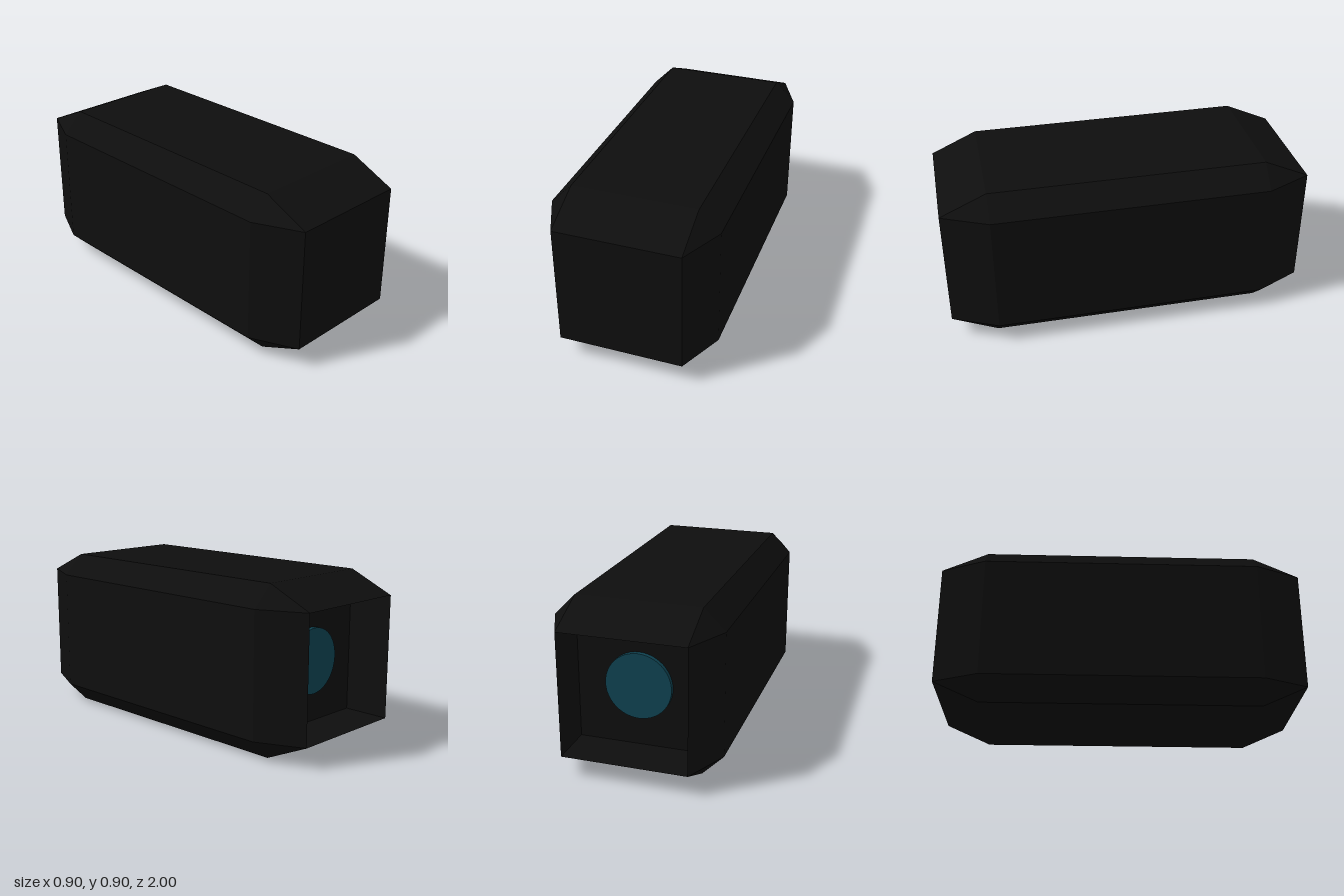
import * as THREE from 'three';

const OUTER = [0.45, 0.45, 1];      // half extents of the block
const INNER = [0.336, 0.336, 0.75]; // half extents of its flat faces
const FLOOR_Z = -0.745;             // bottom of the recess in the back end
const SIGNS = [-1, 1];

// Bevelled-box vertex: pushed to the outer extent along one axis only
function corner(axis, s) {
  return new THREE.Vector3(...[0, 1, 2].map(i => s[i] * (i === axis ? OUTER[i] : INNER[i])));
}

// Flat-shaded geometry from convex polygons, each turned to face its given direction
function polygons(list) {
  const pos = [];
  for (const { pts, dir } of list) {
    const n = new THREE.Vector3().crossVectors(
      pts[1].clone().sub(pts[0]), pts[2].clone().sub(pts[0]));
    const p = n.dot(dir) < 0 ? pts.slice().reverse() : pts;
    for (let i = 1; i < p.length - 1; i++) {
      for (const v of [p[0], p[i], p[i + 1]]) pos.push(v.x, v.y, v.z);
    }
  }
  const g = new THREE.BufferGeometry();
  g.setAttribute('position', new THREE.Float32BufferAttribute(pos, 3));
  g.computeVertexNormals();
  return g;
}

function shellGeometry() {
  const list = [];
  for (let a = 0; a < 3; a++) {
    const b = (a + 1) % 3, c = (a + 2) % 3;
    const at = (axis, sa, sb, sc) => {
      const s = [];
      s[a] = sa; s[b] = sb; s[c] = sc;
      return corner(axis, s);
    };
    for (const sa of SIGNS) {
      // main face; the back end stays open for the recess
      const dir = new THREE.Vector3().setComponent(a, sa);
      if (!(a === 2 && sa === -1)) {
        list.push({ pts: [at(a, sa, -1, -1), at(a, sa, 1, -1), at(a, sa, 1, 1), at(a, sa, -1, 1)], dir });
      }
      // bevels between this face and the next axis
      for (const sb of SIGNS) {
        list.push({
          pts: [at(a, sa, sb, -1), at(a, sa, sb, 1), at(b, sa, sb, 1), at(b, sa, sb, -1)],
          dir: dir.clone().setComponent(b, sb),
        });
      }
    }
  }
  // corner triangles
  for (const x of SIGNS) for (const y of SIGNS) for (const z of SIGNS) {
    const s = [x, y, z];
    list.push({ pts: [0, 1, 2].map(i => corner(i, s)), dir: new THREE.Vector3(x, y, z) });
  }
  return polygons(list);
}

function recessGeometry() {
  const ring = [[-1, -1], [1, -1], [1, 1], [-1, 1]];
  const at = (i, z) => new THREE.Vector3(ring[i % 4][0] * INNER[0], ring[i % 4][1] * INNER[1], z);
  const list = [{ pts: ring.map((_, i) => at(i, FLOOR_Z)), dir: new THREE.Vector3(0, 0, -1) }];
  for (let i = 0; i < 4; i++) {
    const pts = [at(i, -1), at(i + 1, -1), at(i + 1, FLOOR_Z), at(i, FLOOR_Z)];
    const dir = pts[0].clone().add(pts[1]).setZ(0).negate();
    list.push({ pts, dir });
  }
  return polygons(list);
}

export function createModel() {
  const black = new THREE.MeshStandardMaterial({ color: 0x0e0e0e });
  black.name = 'black';
  const teal = new THREE.MeshStandardMaterial({ color: 0x0f4352 });
  teal.name = 'darkTeal';

  const model = new THREE.Group();
  model.name = 'bevelledBlock';
  const add = (name, geometry, material) => {
    const m = new THREE.Mesh(geometry, material);
    m.name = name;
    m.position.y = OUTER[1];
    model.add(m);
    return m;
  };

  add('shell', shellGeometry(), black);
  add('backRecess', recessGeometry(), black);

  // round lens standing just off the recess floor
  const lens = add('lens', new THREE.CylinderGeometry(0.178, 0.178, 0.025, 48), teal);
  lens.rotation.x = Math.PI / 2;
  lens.position.z = FLOOR_Z - 0.0125;

  return model;
}
